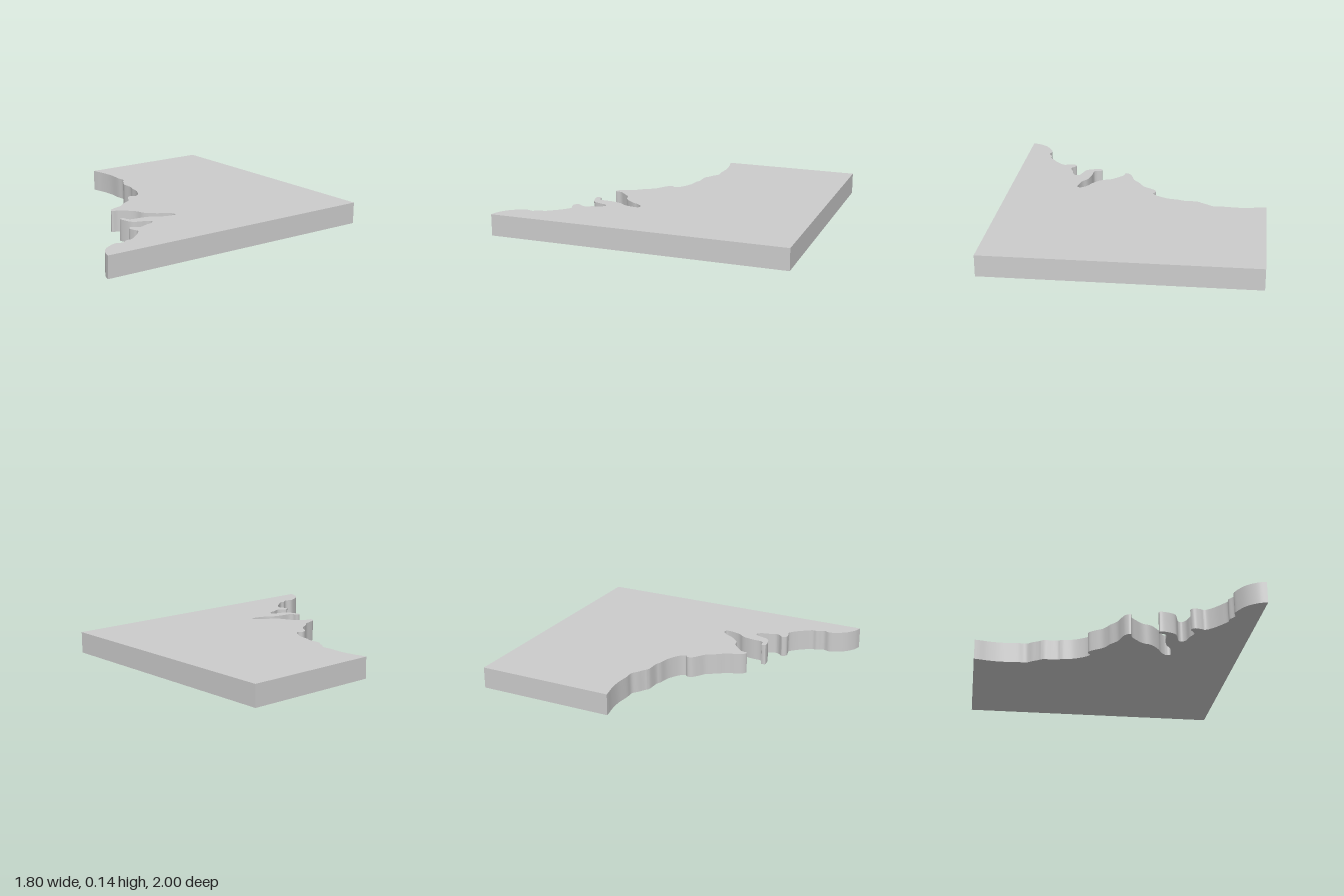
import * as THREE from 'three';
import { toCreasedNormals } from 'three/addons/utils/BufferGeometryUtils.js';

const HEIGHT = 0.145;

// Ragged front edge, left to right, as [x, z]
const COAST = [
  [-0.9, -0.06], [-0.87, -0.065], [-0.81, -0.078], [-0.71, -0.088], [-0.6, -0.08],
  [-0.54, -0.082], [-0.5, -0.055], [-0.46, -0.033], [-0.43, -0.013], [-0.33, -0.007],
  [-0.3, 0.006], [-0.23, 0.018], [-0.17, 0.045], [-0.125, 0.078], [-0.113, 0.103],
  [-0.13, 0.123], [-0.125, 0.152], [-0.085, 0.185], [-0.04, 0.215], [-0.015, 0.25],
  [0.003, 0.283], [0.045, 0.335], [0.065, 0.395], [0.085, 0.437], [0.118, 0.455],
  [0.13, 0.41], [0.165, 0.37], [0.215, 0.325], [0.275, 0.305], [0.34, 0.235],
  [0.36, 0.195], [0.4, 0.157], [0.43, 0.16], [0.43, 0.2], [0.41, 0.27],
  [0.38, 0.31], [0.36, 0.38], [0.352, 0.462], [0.335, 0.478], [0.3, 0.485],
  [0.302, 0.513], [0.36, 0.508], [0.41, 0.485], [0.43, 0.44], [0.447, 0.39],
  [0.47, 0.378], [0.495, 0.4], [0.51, 0.455], [0.53, 0.505], [0.52, 0.53],
  [0.497, 0.56], [0.515, 0.587], [0.56, 0.582], [0.59, 0.573], [0.64, 0.61],
  [0.685, 0.665], [0.715, 0.71], [0.713, 0.74], [0.74, 0.785], [0.727, 0.83],
  [0.745, 0.88], [0.785, 0.94], [0.85, 0.985], [0.9, 1.0],
];

export function createModel() {
  const group = new THREE.Group();

  // Smooth the coast, then close the outline along the straight edges
  const curve = new THREE.CatmullRomCurve3(
    COAST.map(([x, z]) => new THREE.Vector3(x, -z, 0)), false, 'centripetal');
  const outline = curve.getPoints((COAST.length - 1) * 4)
    .map((p) => new THREE.Vector2(p.x, p.y));
  outline.push(new THREE.Vector2(0.9, 1), new THREE.Vector2(-0.9, 1));

  // Flat slab lying on the ground
  const geometry = new THREE.ExtrudeGeometry(new THREE.Shape(outline), {
    depth: HEIGHT, bevelEnabled: false,
  });
  geometry.rotateX(-Math.PI / 2);
  const slab = new THREE.Mesh(
    toCreasedNormals(geometry, Math.PI / 6),
    new THREE.MeshStandardMaterial({ color: 0xcccccc }));
  slab.name = 'slabWithRaggedEdge';
  group.add(slab);

  return group;
}
